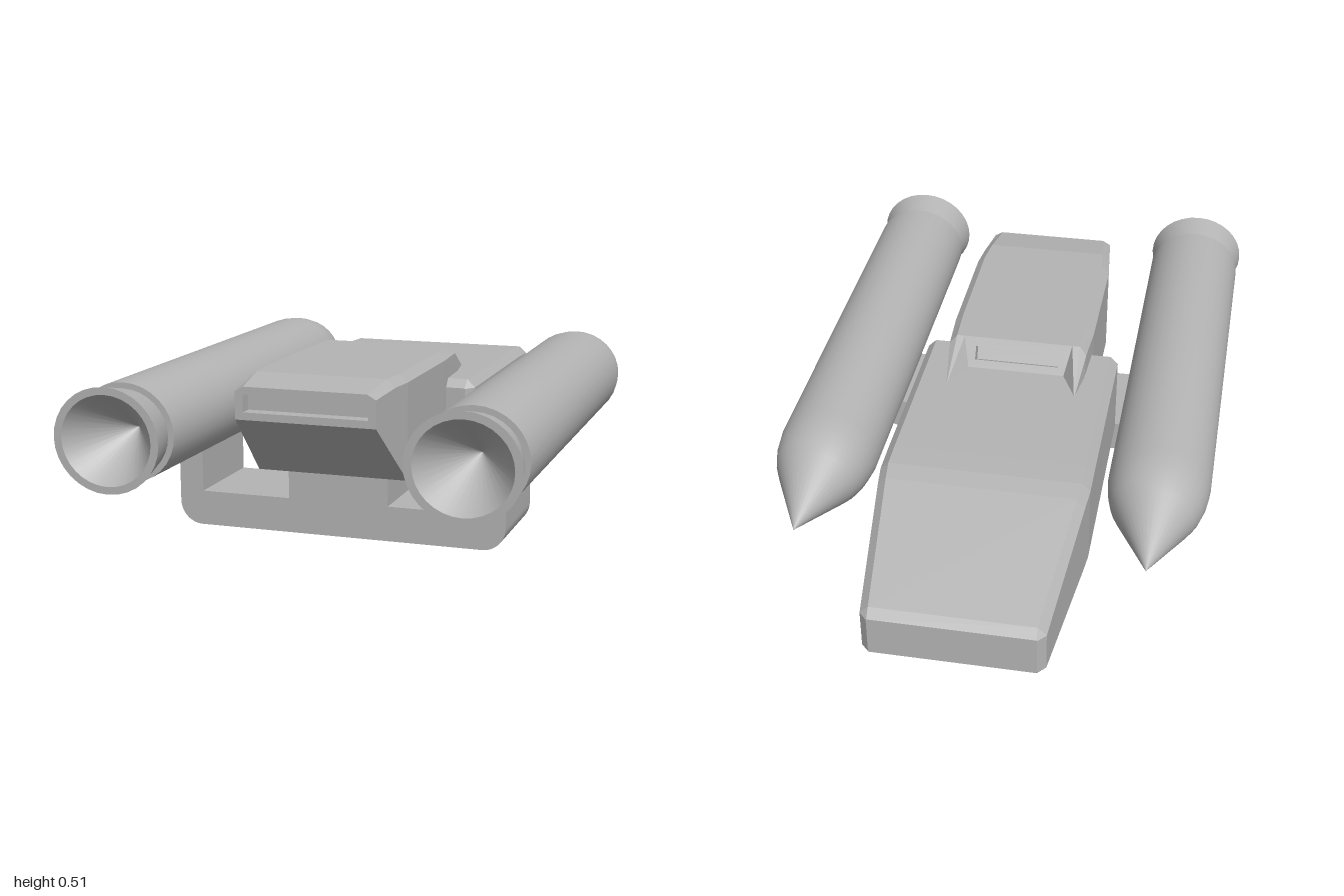
import * as THREE from 'three';
import { toCreasedNormals } from 'three/addons/utils/BufferGeometryUtils.js';

// Flat-faced geometry from a list of polygons (each fanned into triangles)
function fromFaces(faces) {
  const pos = [];
  for (const f of faces)
    for (let i = 1; i < f.length - 1; i++) pos.push(...f[0], ...f[i], ...f[i + 1]);
  const g = new THREE.BufferGeometry();
  g.setAttribute('position', new THREE.Float32BufferAttribute(pos, 3));
  g.computeVertexNormals();
  return g;
}

// Side faces between rings that run counterclockwise seen from +z
function loft(rings) {
  const faces = [];
  for (let r = 0; r < rings.length - 1; r++) {
    const a = rings[r], b = rings[r + 1], n = a.length;
    for (let i = 0; i < n; i++) {
      const j = (i + 1) % n;
      faces.push([a[i], a[j], b[j], b[i]]);
    }
  }
  return faces;
}

// Four-sided panel with a recessed slot
function slotPanel(outer, inner, depth) {
  const back = inner.map(p => p.map((v, k) => v + depth[k]));
  return [...loft([outer, inner, back]), back];
}

const flipX = p => [-p[0], p[1], p[2]];
// Closed ring from the points of its +x half, listed bottom to top
const mirrorRing = half => [...half, ...half.map(flipX).reverse()];

function hullGeometry() {
  const c = 0.025;
  // z, half width, bottom, top, corner bevel
  const ring = (z, w, yb, yt, b) => mirrorRing([
    [w - b, yb, z], [w, yb + b, z], [w, yt - b, z], [w - b, yt, z]]);
  const rings = [
    ring(-1, 0.24, 0.14, 0.265, 0.002),
    ring(-0.977, 0.263, 0.118, 0.291, c),
    ring(-0.56, 0.309, 0.116, 0.411, c),
    ring(-0.5, 0.315, 0.117, 0.422, c),
    ring(-0.42, 0.315, 0.118, 0.425, c),
    ring(0.165, 0.315, 0.12, 0.425, c),
    ring(0.19, 0.29, 0.142, 0.40, 0.002),
  ];
  return fromFaces([...loft(rings), [...rings[0]].reverse(), rings[rings.length - 1]]);
}

function podGeometry() {
  const mid = [0.222, 0.425, 0.03], shoulder = [0.222, 0.487, 0.0665], top = [0.2, 0.51, 0.08];
  const section = (z, w, yb, ys, yt) => mirrorRing([
    [w, yb, z], [w, 0.425, z], [w, ys, z], [w - 0.025, yt, z]]);
  const rings = [
    mirrorRing([[0.222, 0.2, 0.03], mid, shoulder, top]),
    section(0.2, 0.23, 0.2, 0.487, 0.51),
    section(0.585, 0.23, 0.2, 0.487, 0.51),
    section(0.67, 0.221, 0.277, 0.487, 0.51),
    section(0.8, 0.208, 0.395, 0.475, 0.49),
  ];
  const faces = loft(rings);

  // Slanted forward panel with slot
  const slope = y => 0.03 + (y - 0.425) * 0.588;
  const at = (x, y) => [x, y, slope(y)];
  faces.push(...slotPanel(
    [mid, flipX(mid), flipX(top), top],
    [at(0.135, 0.447), at(-0.135, 0.447), at(-0.135, 0.485), at(0.135, 0.485)],
    [0, -0.02, 0.034]));
  faces.push([mid, top, shoulder], [flipX(mid), flipX(shoulder), flipX(top)]);

  // Upright rear panel with slot
  const [lo, , sh, up] = rings[4];
  faces.push(...slotPanel(
    [flipX(lo), lo, up, flipX(up)],
    [[-0.185, 0.417, 0.8], [0.185, 0.417, 0.8], [0.185, 0.468, 0.8], [-0.185, 0.468, 0.8]],
    [0, 0, -0.04]));
  faces.push([lo, sh, up], [flipX(lo), flipX(up), flipX(sh)]);
  return fromFaces(faces);
}

// Pointed fin reaching forward from the pod's corner
function hornGeometry(side) {
  const tip = [0.205, 0.42, -0.08];
  const edge = [[0.155, 0.425, 0.03], [0.175, 0.51, 0.08], [0.2, 0.51, 0.08],
    [0.222, 0.487, 0.0665], [0.222, 0.42, 0.03]];
  const faces = [];
  for (let i = 0; i < edge.length - 1; i++) {
    const f = [tip, edge[i], edge[i + 1]];
    faces.push(side > 0 ? f : f.map(flipX).reverse());
  }
  return fromFaces(faces);
}

// U-shaped cradle with a centre post
function bracketGeometry() {
  const s = new THREE.Shape();
  s.moveTo(-0.44, 0);
  s.lineTo(0.44, 0);
  s.absarc(0.44, 0.07, 0.07, -Math.PI / 2, 0, false);
  s.lineTo(0.51, 0.25);
  s.lineTo(0.435, 0.25);
  s.lineTo(0.435, 0.105);
  s.lineTo(0.155, 0.105);
  s.lineTo(0.155, 0.21);
  s.lineTo(-0.155, 0.21);
  s.lineTo(-0.155, 0.105);
  s.lineTo(-0.435, 0.105);
  s.lineTo(-0.435, 0.25);
  s.lineTo(-0.51, 0.25);
  s.lineTo(-0.51, 0.07);
  s.absarc(-0.44, 0.07, 0.07, Math.PI, Math.PI * 1.5, false);
  const g = new THREE.ExtrudeGeometry(s, { depth: 0.305, bevelEnabled: false, curveSegments: 8 });
  g.translate(0, 0, 0.235);
  return toCreasedNormals(g, 0.6);
}

// Turned part along z, from [radius, z] points
function turned(profile) {
  const g = new THREE.LatheGeometry(profile.map(p => new THREE.Vector2(...p)), 32);
  g.rotateX(Math.PI / 2);
  return toCreasedNormals(g, 0.6);
}

export function createModel() {
  const model = new THREE.Group();
  model.name = 'spacecraft';
  const grey = new THREE.MeshStandardMaterial({ color: 0xb4b4b4 });
  grey.name = 'hull grey';

  const add = (parent, name, geometry) => {
    const m = new THREE.Mesh(geometry, grey);
    m.name = name;
    parent.add(m);
  };

  add(model, 'hull', hullGeometry());
  add(model, 'pod', podGeometry());
  add(model, 'bracket', bracketGeometry());

  const tank = turned([[0, -0.77], [0.115, -0.54], [0.133, -0.5], [0.146, -0.45],
    [0.153, -0.39], [0.153, 0.89], [0, 0.89]]);
  const nozzle = turned([[0.134, 0.885], [0.16, 1], [0.137, 1], [0, 0.8]]);
  // Open the tank's end cap so the bell's inner cone stays visible
  const tankShell = turned([[0, -0.77], [0.115, -0.54], [0.133, -0.5], [0.146, -0.45],
    [0.153, -0.39], [0.153, 0.89], [0.13, 0.89]]);
  tank.dispose();

  for (const side of [1, -1]) {
    const label = side > 0 ? 'left' : 'right';
    add(model, label + 'Horn', hornGeometry(side));
    const booster = new THREE.Group();
    booster.name = label + 'Booster';
    booster.position.set(side * 0.507, 0.355, 0);
    booster.scale.y = 0.945;
    add(booster, 'tank', tankShell);
    add(booster, 'nozzle', nozzle);
    model.add(booster);
  }
  return model;
}
